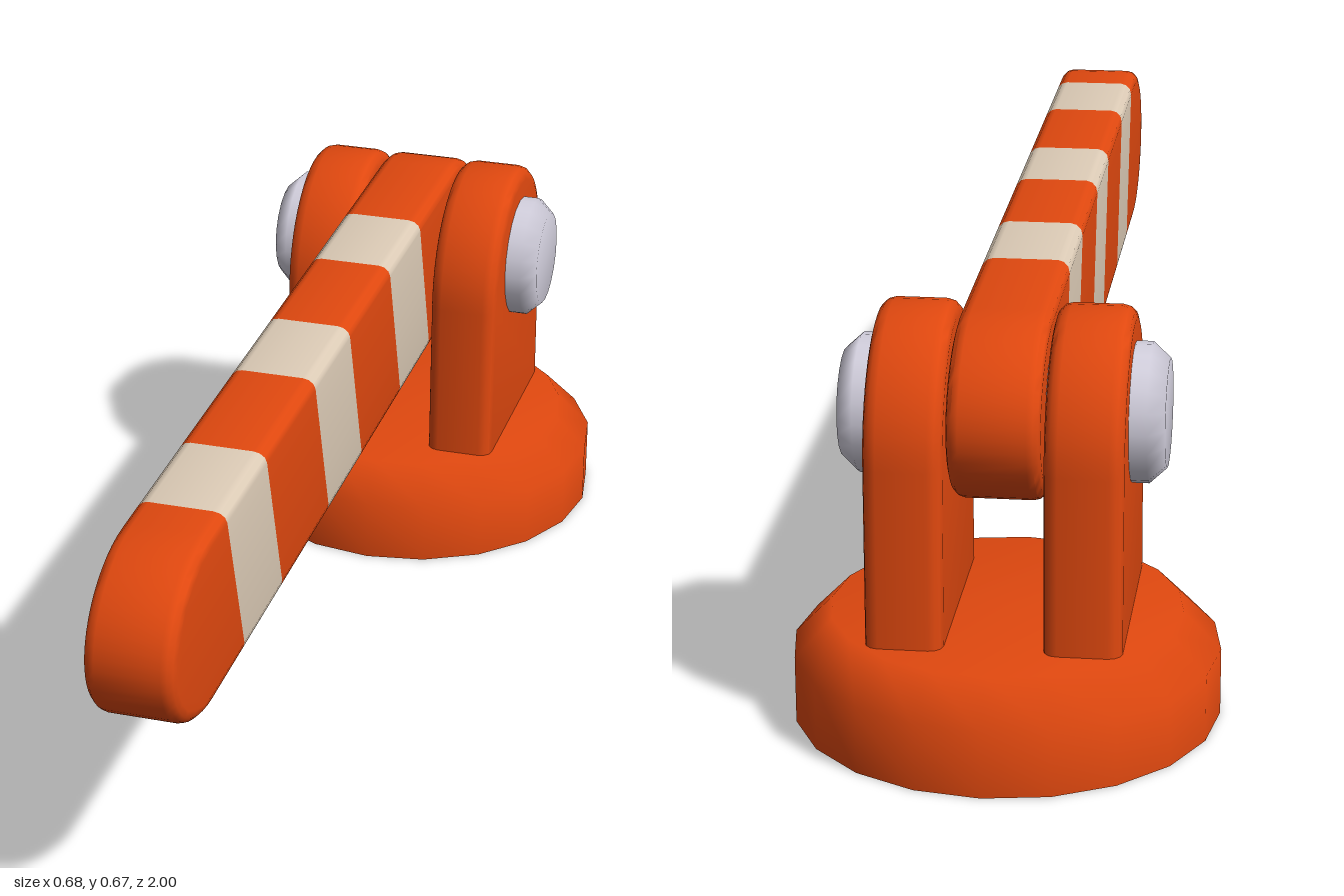
import * as THREE from 'three';
import { toCreasedNormals } from 'three/addons/utils/BufferGeometryUtils.js';

const HINGE_Z = -0.655;
const ARM_Y = 0.514;
const STRIPE_SLANT = 0.3;

// Extrudes a (z, y) profile along x, centred, with rounded edges inside the given width.
function slab(shape, width, bevel) {
  const depth = width - 2 * bevel;
  const geo = new THREE.ExtrudeGeometry(shape, {
    depth, curveSegments: 12, bevelEnabled: true,
    bevelThickness: bevel, bevelSize: bevel, bevelOffset: -bevel, bevelSegments: 3,
  });
  geo.translate(0, 0, -depth / 2).rotateY(-Math.PI / 2);
  return toCreasedNormals(geo, 0.7);
}

// Keeps the part of a polygon on one side of a slanted plane; vertices are {p, n}.
function clip(poly, limit, sign) {
  const side = v => sign * (v.p.z - STRIPE_SLANT * (v.p.y - ARM_Y) - limit);
  const out = [];
  poly.forEach((a, i) => {
    const b = poly[(i + 1) % poly.length];
    const da = side(a), db = side(b);
    if (da >= 0) out.push(a);
    if ((da >= 0) !== (db >= 0)) {
      const t = da / (da - db);
      out.push({ p: a.p.clone().lerp(b.p, t), n: a.n.clone().lerp(b.n, t).normalize() });
    }
  });
  return out;
}

// Cuts out the band of a geometry between two slanted planes.
function band(geo, from, to) {
  const { position, normal } = geo.attributes;
  const pos = [], nor = [];
  for (let i = 0; i < position.count; i += 3) {
    let poly = [0, 1, 2].map(k => ({
      p: new THREE.Vector3().fromBufferAttribute(position, i + k),
      n: new THREE.Vector3().fromBufferAttribute(normal, i + k),
    }));
    poly = clip(clip(poly, from, 1), to, -1);
    for (let k = 1; k < poly.length - 1; k++) {
      for (const v of [poly[0], poly[k], poly[k + 1]]) {
        pos.push(v.p.x, v.p.y, v.p.z);
        nor.push(v.n.x, v.n.y, v.n.z);
      }
    }
  }
  const out = new THREE.BufferGeometry();
  out.setAttribute('position', new THREE.Float32BufferAttribute(pos, 3));
  out.setAttribute('normal', new THREE.Float32BufferAttribute(nor, 3));
  return out;
}

function lathe(points, sides) {
  return new THREE.LatheGeometry(points.map(([r, y]) => new THREE.Vector2(r, y)), sides);
}

export function createModel() {
  const model = new THREE.Group();
  model.name = 'hingedBarrier';

  const orange = new THREE.MeshStandardMaterial({ color: 0xe0480f, side: THREE.DoubleSide });
  orange.name = 'orange';
  const cream = new THREE.MeshStandardMaterial({ color: 0xdccbb6 });
  cream.name = 'cream';
  const steel = new THREE.MeshStandardMaterial({ color: 0xd3d0de });
  steel.name = 'paleSteel';

  const add = (name, geo, mat, parent = model) => {
    const mesh = new THREE.Mesh(geo, mat);
    mesh.name = name;
    parent.add(mesh);
    return mesh;
  };

  // Round base: a chamfered shell, open underneath
  const base = add('base', lathe([[0.34, 0], [0.34, 0.11], [0.28, 0.172], [0, 0.172]], 20), orange);
  base.position.z = -0.66;

  // Two arched brackets either side of the arm
  const arch = new THREE.Shape();
  arch.moveTo(HINGE_Z - 0.2, 0.15);
  arch.lineTo(HINGE_Z + 0.2, 0.15);
  arch.lineTo(HINGE_Z + 0.195, 0.46);
  arch.absellipse(HINGE_Z, 0.46, 0.195, 0.207, 0, Math.PI, false);
  arch.closePath();
  const bracketGeo = slab(arch, 0.122, 0.022);
  for (const [name, s] of [['leftBracket', 1], ['rightBracket', -1]]) {
    add(name, bracketGeo, orange).position.x = s * 0.138;
  }

  // Hinge pin with chamfered ends
  const pinGeo = lathe([[0, -0.253], [0.085, -0.253], [0.11, -0.226],
    [0.11, 0.226], [0.085, 0.253], [0, 0.253]], 20);
  const pin = add('hingePin', pinGeo, steel);
  pin.rotation.z = Math.PI / 2;
  pin.position.set(0, 0.502, HINGE_Z);

  // Long arm with rounded ends, divided into slanted coloured bands
  const outline = new THREE.Shape();
  outline.absellipse(0.81, ARM_Y, 0.19, 0.148, -Math.PI / 2, Math.PI / 2, false);
  outline.absellipse(HINGE_Z, ARM_Y, 0.19, 0.148, Math.PI / 2, Math.PI * 1.5, false);
  const armGeo = slab(outline, 0.144, 0.02);
  const arm = new THREE.Group();
  arm.name = 'arm';
  model.add(arm);
  const cuts = [-2, -0.443, -0.238, 0.018, 0.223, 0.491, 0.694, 2];
  for (let i = 0; i < cuts.length - 1; i++) {
    const striped = i % 2 === 1;
    add(striped ? 'armStripe' : 'armSection', band(armGeo, cuts[i], cuts[i + 1]),
      striped ? cream : orange, arm);
  }

  return model;
}
